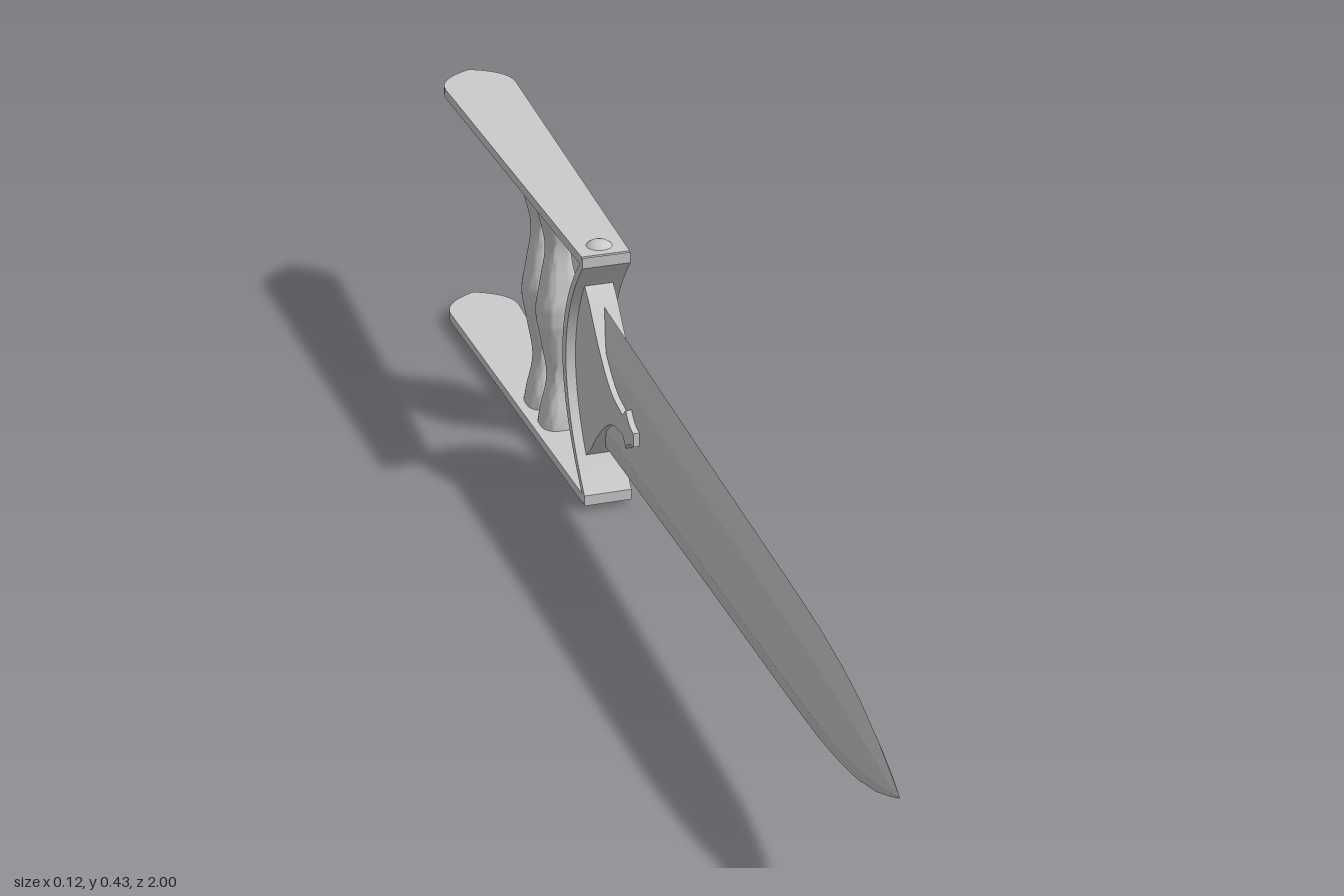
import * as THREE from 'three';
import { toCreasedNormals } from 'three/addons/utils/BufferGeometryUtils.js';

const MID = 0.205; // height of the blade's axis

const material = new THREE.MeshStandardMaterial({ color: 0xcccccc });

function part(name, geometry, y = MID) {
  const mesh = new THREE.Mesh(geometry, material);
  mesh.name = name;
  mesh.position.y = y;
  return mesh;
}

// Extrudes a side profile drawn in (z, y) to a given width in x.
function sideExtrude(shape, width) {
  const g = new THREE.ExtrudeGeometry(shape, { depth: width, bevelEnabled: false, curveSegments: 16 });
  g.translate(0, 0, -width / 2);
  g.rotateY(-Math.PI / 2);
  return toCreasedNormals(g, 0.5);
}

// Skins a list of closed rings of Vector3, all with the same number of points.
function loft(rings) {
  const pos = [];
  const n = rings[0].length;
  const tri = (...pts) => pts.forEach((p) => pos.push(p.x, p.y, p.z));
  for (let i = 0; i < rings.length - 1; i++) {
    for (let j = 0; j < n; j++) {
      const k = (j + 1) % n;
      const a = rings[i][j], b = rings[i][k], c = rings[i + 1][k], d = rings[i + 1][j];
      tri(a, b, c);
      tri(a, c, d);
    }
  }
  const first = rings[0], last = rings[rings.length - 1];
  for (let j = 1; j < n - 1; j++) {
    tri(first[0], first[j + 1], first[j]);
    tri(last[0], last[j], last[j + 1]);
  }
  const g = new THREE.BufferGeometry();
  g.setAttribute('position', new THREE.Float32BufferAttribute(pos, 3));
  g.computeVertexNormals();
  return g;
}

// Blade: hexagonal section with a broad flat and two bevels, curving to a point.
function bladeGeometry() {
  // z, half height, half height of the flat, half thickness
  const stations = [
    [-0.3, 0.116, 0.066, 0.013], [-0.25, 0.115, 0.065, 0.013], [0.2, 0.099, 0.055, 0.013],
    [0.6, 0.087, 0.046, 0.013], [0.7, 0.082, 0.043, 0.013], [0.78, 0.073, 0.038, 0.012],
    [0.85, 0.06, 0.03, 0.011], [0.92, 0.038, 0.018, 0.008], [0.97, 0.016, 0.007, 0.004],
    [1, 0.001, 0.0005, 0.0005],
  ];
  const rings = stations.map(([z, h, f, t]) =>
    [[0, h], [-t, f], [-t, -f], [0, -h], [t, -f], [t, f]].map(([x, y]) => new THREE.Vector3(x, y, z)));
  return toCreasedNormals(loft(rings), 0.2);
}

// Guard: a thin band bowed back between the two side bars.
function guardGeometry() {
  const s = new THREE.Shape();
  s.moveTo(-0.245, 0.205);
  s.quadraticCurveTo(-0.355, 0.1, -0.355, 0);
  s.quadraticCurveTo(-0.355, -0.1, -0.245, -0.205);
  s.lineTo(-0.245, -0.188);
  s.quadraticCurveTo(-0.335, -0.095, -0.337, 0);
  s.quadraticCurveTo(-0.335, 0.095, -0.245, 0.188);
  s.closePath();
  return sideExtrude(s, 0.074);
}

// Socket plate: sweeps from the guard to a small barbed tip on the blade.
function socketGeometry() {
  const s = new THREE.Shape();
  s.moveTo(-0.345, 0);
  s.quadraticCurveTo(-0.342, 0.085, -0.292, 0.146);
  s.lineTo(-0.262, 0.121);
  s.quadraticCurveTo(-0.19, 0.035, -0.14, 0.022);
  s.lineTo(-0.1, 0.016);
  s.lineTo(-0.082, 0.031);
  s.quadraticCurveTo(-0.07, 0.012, -0.045, 0.011);
  s.lineTo(-0.045, -0.011);
  s.quadraticCurveTo(-0.07, -0.012, -0.082, -0.031);
  s.lineTo(-0.1, -0.016);
  s.lineTo(-0.14, -0.022);
  s.quadraticCurveTo(-0.19, -0.035, -0.262, -0.121);
  s.lineTo(-0.292, -0.146);
  s.quadraticCurveTo(-0.342, -0.085, -0.345, 0);
  return sideExtrude(s, 0.044);
}

// Side bar: widens toward the back and ends in a rounded point.
function barGeometry() {
  const s = new THREE.Shape();
  s.moveTo(-0.037, 0.25);
  s.lineTo(0.037, 0.25);
  s.lineTo(0.058, 0.93);
  s.quadraticCurveTo(0.058, 0.975, 0, 1);
  s.quadraticCurveTo(-0.058, 0.975, -0.058, 0.93);
  s.closePath();
  const g = new THREE.ExtrudeGeometry(s, { depth: 0.015, bevelEnabled: false, curveSegments: 10 });
  g.rotateX(-Math.PI / 2);
  return toCreasedNormals(g, 0.5);
}

// Grip: a waisted post with a swollen middle and a rounded-square section.
function gripGeometry() {
  const profile = new THREE.SplineCurve([
    [0.033, -0.192], [0.029, -0.165], [0.019, -0.11], [0.027, -0.05], [0.034, 0],
    [0.027, 0.05], [0.019, 0.11], [0.029, 0.165], [0.033, 0.192],
  ].map(([r, y]) => new THREE.Vector2(r, y)));
  const round = (v) => Math.sign(v) * Math.pow(Math.abs(v), 0.7);
  const rings = profile.getPoints(40).map(({ x: r, y }) =>
    Array.from({ length: 32 }, (_, i) => {
      const a = (i / 32) * Math.PI * 2;
      return new THREE.Vector3(r * round(Math.sin(a)), y, r * round(Math.cos(a)));
    }));
  return toCreasedNormals(loft(rings), 0.7);
}

export function createModel() {
  const model = new THREE.Group();
  model.name = 'punchDagger';
  model.add(part('blade', bladeGeometry()));
  model.add(part('guard', guardGeometry()));
  model.add(part('socketPlate', socketGeometry()));

  const bar = barGeometry();
  model.add(part('lowerBar', bar, 0), part('upperBar', bar, 0.395));

  const grip = gripGeometry();
  for (const [name, z] of [['frontGrip', -0.5], ['backGrip', -0.577]]) {
    const mesh = part(name, grip);
    mesh.position.z = z;
    model.add(mesh);
  }

  // Small domed knobs in the corners between guard and bars.
  const knob = new THREE.SphereGeometry(0.026, 20, 12);
  for (const [name, y] of [['lowerKnob', 0.015], ['upperKnob', 0.395]]) {
    const mesh = part(name, knob, y);
    mesh.position.z = -0.283;
    mesh.scale.y = 0.9;
    model.add(mesh);
  }
  return model;
}
